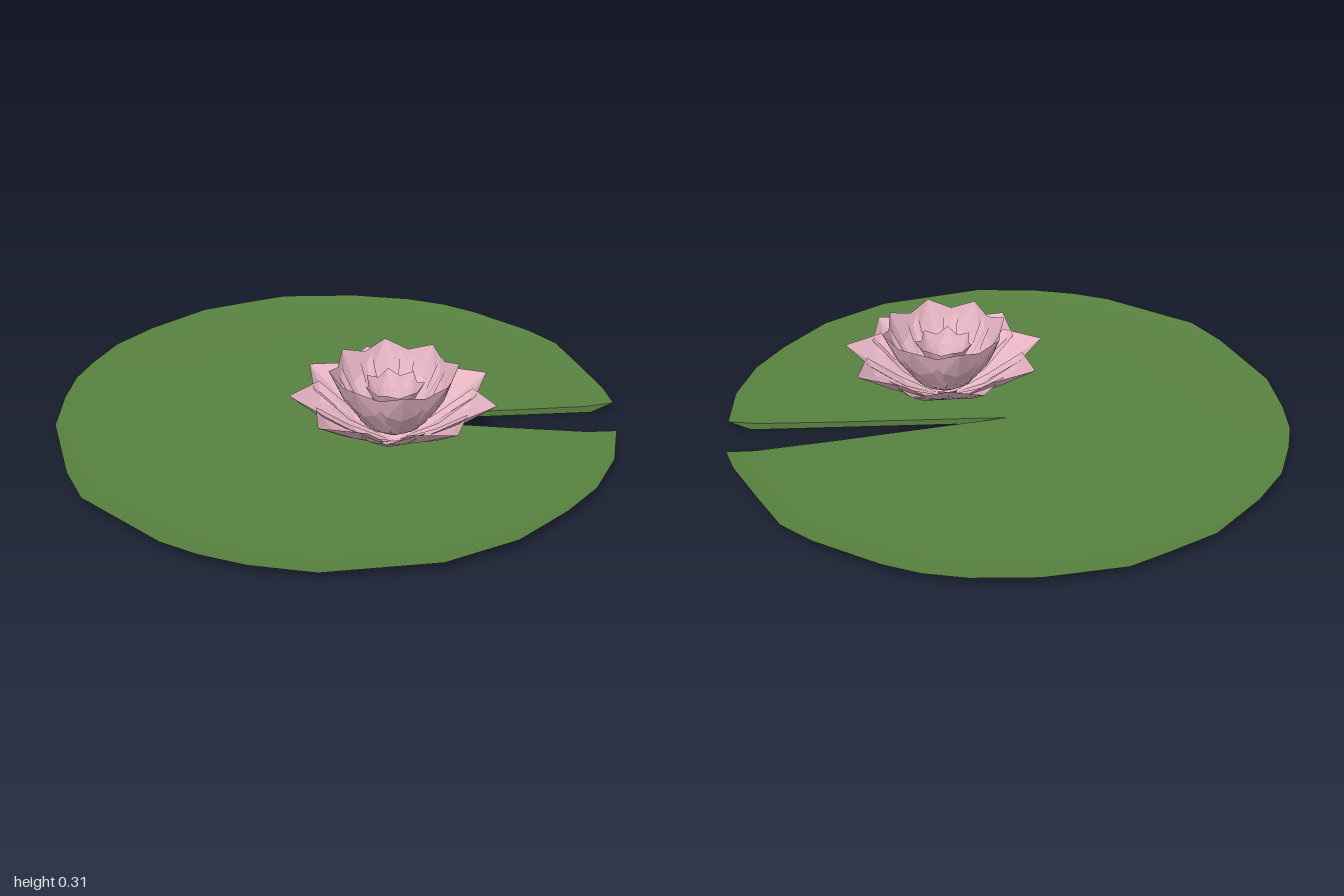
import * as THREE from 'three';

const green = new THREE.MeshStandardMaterial({ color: 0x588240, side: THREE.DoubleSide });
green.name = 'leafGreen';
const pink = new THREE.MeshStandardMaterial({ color: 0xe6b5c4, side: THREE.DoubleSide });
pink.name = 'petalPink';

// Leaf outline (x, z), from one side of the notch round to the other
const OUTLINE = [
  [0.98, -0.15], [1, 0.05], [0.97, 0.25], [0.9, 0.42], [0.78, 0.63], [0.58, 0.82],
  [0.22, 0.98], [0, 1], [-0.17, 0.985], [-0.31, 0.95], [-0.65, 0.775], [-0.76, 0.64],
  [-0.93, 0.35], [-0.98, 0.15], [-1, 0], [-0.99, -0.13], [-0.96, -0.3], [-0.88, -0.47],
  [-0.74, -0.68], [-0.59, -0.8], [-0.47, -0.89], [-0.2, -0.975], [0.02, -1], [0.17, -0.99],
  [0.3, -0.955], [0.54, -0.85], [0.66, -0.77], [0.77, -0.62], [0.89, -0.45], [0.94, -0.35],
];
// Leaf section as [fraction of outline, height]
const TOP = [[0, 0.022], [0.6, 0.022], [0.9, 0.025], [1, 0.036]];
const BOTTOM = [[1, 0.036], [0.92, 0], [0.6, 0], [0, 0]];

function makeMesh(name, positions, index, material) {
  const geometry = new THREE.BufferGeometry();
  geometry.setAttribute('position', new THREE.Float32BufferAttribute(positions, 3));
  if (index) geometry.setIndex(index);
  geometry.computeVertexNormals();
  const mesh = new THREE.Mesh(geometry, material);
  mesh.name = name;
  return mesh;
}

// Smooth skin made of scaled copies of the outline
function leafSkin(name, rings) {
  const positions = [], index = [], n = OUTLINE.length;
  for (const [s, y] of rings) for (const [x, z] of OUTLINE) positions.push(x * s, y, z * s);
  for (let r = 0; r < rings.length - 1; r++) {
    for (let i = 0; i < n - 1; i++) {
      const a = r * n + i, b = a + n;
      if (rings[r][0] > 0) index.push(a, a + 1, b + 1);
      if (rings[r + 1][0] > 0) index.push(a, b + 1, b);
      else if (rings[r][0] === 0) index.push(a, b + 1, b);
    }
  }
  return makeMesh(name, positions, index, green);
}

// Cut face along one side of the notch
function notchWall(name, [x, z], flip) {
  const positions = [];
  const loop = [[0, 0], ...TOP];
  const put = ([s, y]) => positions.push(x * s, y, z * s);
  for (let i = 0; i < loop.length - 1; i++) {
    put([0.92, 0]);
    put(loop[flip ? i + 1 : i]);
    put(loop[flip ? i : i + 1]);
  }
  return makeMesh(name, positions, null, green);
}

// Faceted pointed petal along +x; rows are [radius, height, half width, edge lift]
function petal(rows) {
  const positions = [];
  const point = (row, k) => [row[0], row[1] + row[3] * k * k, row[2] * k];
  for (let r = 0; r < rows.length - 1; r++) {
    for (let k = -1; k < 1; k += 0.5) {
      const a = point(rows[r], k), b = point(rows[r], k + 0.5);
      const c = point(rows[r + 1], k), d = point(rows[r + 1], k + 0.5);
      if (rows[r][2] > 0) positions.push(...a, ...b, ...d);
      if (rows[r + 1][2] > 0) positions.push(...a, ...d, ...c);
    }
  }
  return makeMesh('petal', positions, null, pink);
}

function petalRing(name, count, offset, rows) {
  const ring = new THREE.Group();
  ring.name = name;
  const first = petal(rows);
  for (let i = 0; i < count; i++) {
    const p = first.clone();
    p.rotation.y = ((i + offset) / count) * Math.PI * 2;
    ring.add(p);
  }
  return ring;
}

export function createModel() {
  const model = new THREE.Group();
  model.name = 'waterLily';

  // Floating leaf with a wedge notch and upturned rim
  const leaf = new THREE.Group();
  leaf.name = 'lilyPad';
  leaf.add(
    leafSkin('padTop', TOP),
    leafSkin('padUnderside', BOTTOM),
    notchWall('notchFront', OUTLINE[0], false),
    notchWall('notchBack', OUTLINE[OUTLINE.length - 1], true),
  );

  // Flower of three nested petal rings
  const flower = new THREE.Group();
  flower.name = 'flower';
  flower.position.set(0.24, 0, 0.12);
  flower.add(
    petalRing('outerPetals', 9, 0,
      [[0, 0.03, 0, 0], [0.13, 0.085, 0.085, 0.025], [0.25, 0.148, 0.125, 0.06], [0.36, 0.22, 0, 0]]),
    petalRing('middlePetals', 8, 0.5,
      [[0, 0.05, 0, 0], [0.1, 0.11, 0.065, 0.02], [0.172, 0.2, 0.1, 0.08], [0.225, 0.315, 0, 0]]),
    petalRing('innerPetals', 7, 0.25,
      [[0, 0.09, 0, 0], [0.045, 0.14, 0.035, 0.015], [0.07, 0.2, 0.05, 0.035], [0.105, 0.26, 0, 0]]),
  );

  // Green heart of the flower
  const heart = new THREE.Mesh(new THREE.SphereGeometry(0.032, 12, 8), green);
  heart.name = 'flowerHeart';
  heart.position.y = 0.15;
  flower.add(heart);

  model.add(leaf, flower);
  return model;
}
